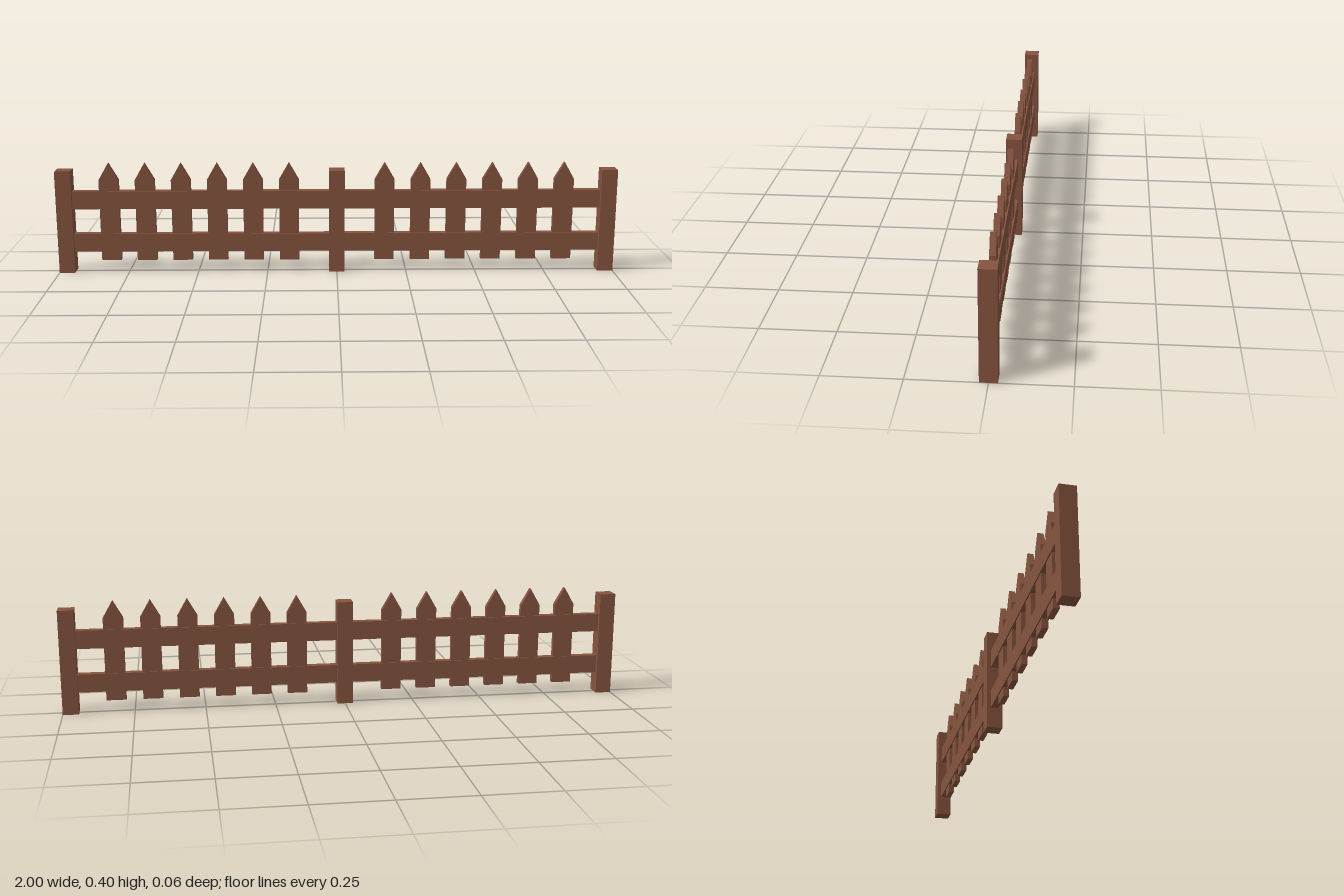
import * as THREE from 'three';

export function createModel() {
  const fence = new THREE.Group();
  fence.name = 'picketFence';
  const wood = new THREE.MeshStandardMaterial({ color: 0x85543f, flatShading: true });

  const add = (name, geometry, x, y, z = 0) => {
    const mesh = new THREE.Mesh(geometry, wood);
    mesh.name = name;
    mesh.position.set(x, y, z);
    fence.add(mesh);
  };

  // Square posts at both ends and in the middle
  const postW = 0.056, postH = 0.373;
  const post = new THREE.BoxGeometry(postW, postH, postW);
  for (const x of [-1 + postW / 2, 0, 1 - postW / 2]) add('post', post, x, postH / 2);

  // Two rails per bay, running between the posts
  const rail = new THREE.BoxGeometry(1 - 1.5 * postW, 0.065, 0.028);
  for (const side of [-1, 1]) {
    for (const y of [0.108, 0.265]) add('rail', rail, side * (0.5 - postW / 4), y);
  }

  // Pointed pickets, six per bay
  const half = 0.035, depth = 0.02;
  const outline = new THREE.Shape([
    new THREE.Vector2(-half, 0.042),
    new THREE.Vector2(half, 0.042),
    new THREE.Vector2(half, 0.337),
    new THREE.Vector2(0, 0.398),
    new THREE.Vector2(-half, 0.337),
  ]);
  const picket = new THREE.ExtrudeGeometry(outline, { depth, bevelEnabled: false });
  picket.translate(0, 0, -depth / 2);
  for (const side of [-1, 1]) {
    for (let i = 0; i < 6; i++) add('picket', picket, side * (0.171 + i * 0.1284), 0);
  }

  return fence;
}
